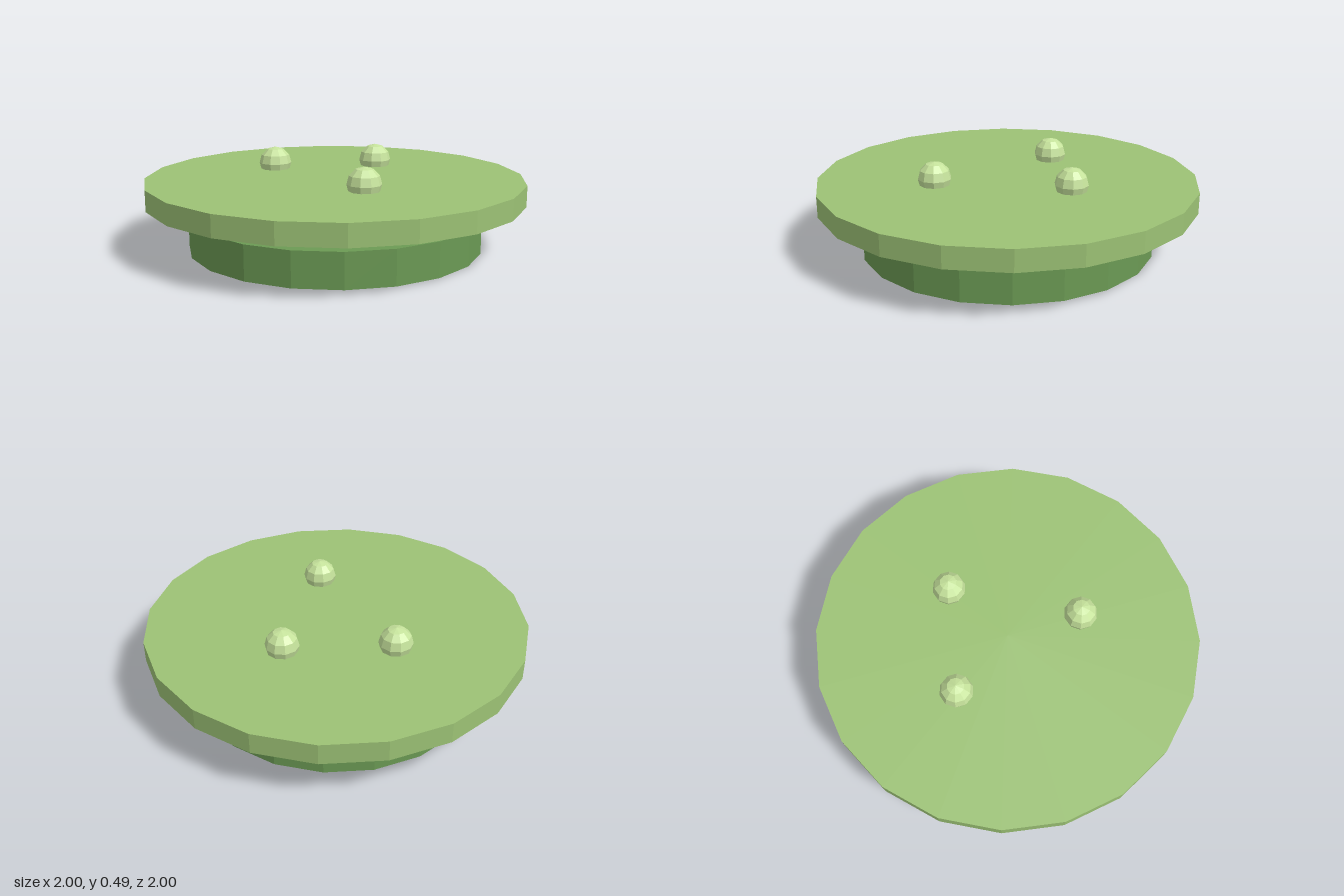
import * as THREE from 'three';

export function createModel() {
  const model = new THREE.Group();
  const paint = (color) => new THREE.MeshStandardMaterial({ color, flatShading: true });

  // 20-sided disc spanning bottom..top
  function disc(name, radius, bottom, top, color) {
    const geometry = new THREE.CylinderGeometry(radius, radius, top - bottom, 20);
    const mesh = new THREE.Mesh(geometry, paint(color));
    mesh.name = name;
    mesh.position.y = (bottom + top) / 2;
    model.add(mesh);
  }
  disc('lowerDisc', 0.78, 0, 0.18, 0x6b9a54);
  disc('upperDisc', 1, 0.26, 0.37, 0x9cc275);

  // Faceted beads half sunk in the upper disc, a corner facing the front
  const beadGeometry = new THREE.SphereGeometry(0.088, 10, 6).rotateY(Math.PI / 2);
  const beadMaterial = paint(0xc5e29b);
  [[0, 0.397], [0.33, -0.225], [-0.225, -0.335]].forEach(([x, z], i) => {
    const bead = new THREE.Mesh(beadGeometry, beadMaterial);
    bead.name = `bead${i + 1}`;
    bead.position.set(x, 0.403, z);
    model.add(bead);
  });

  return model;
}
